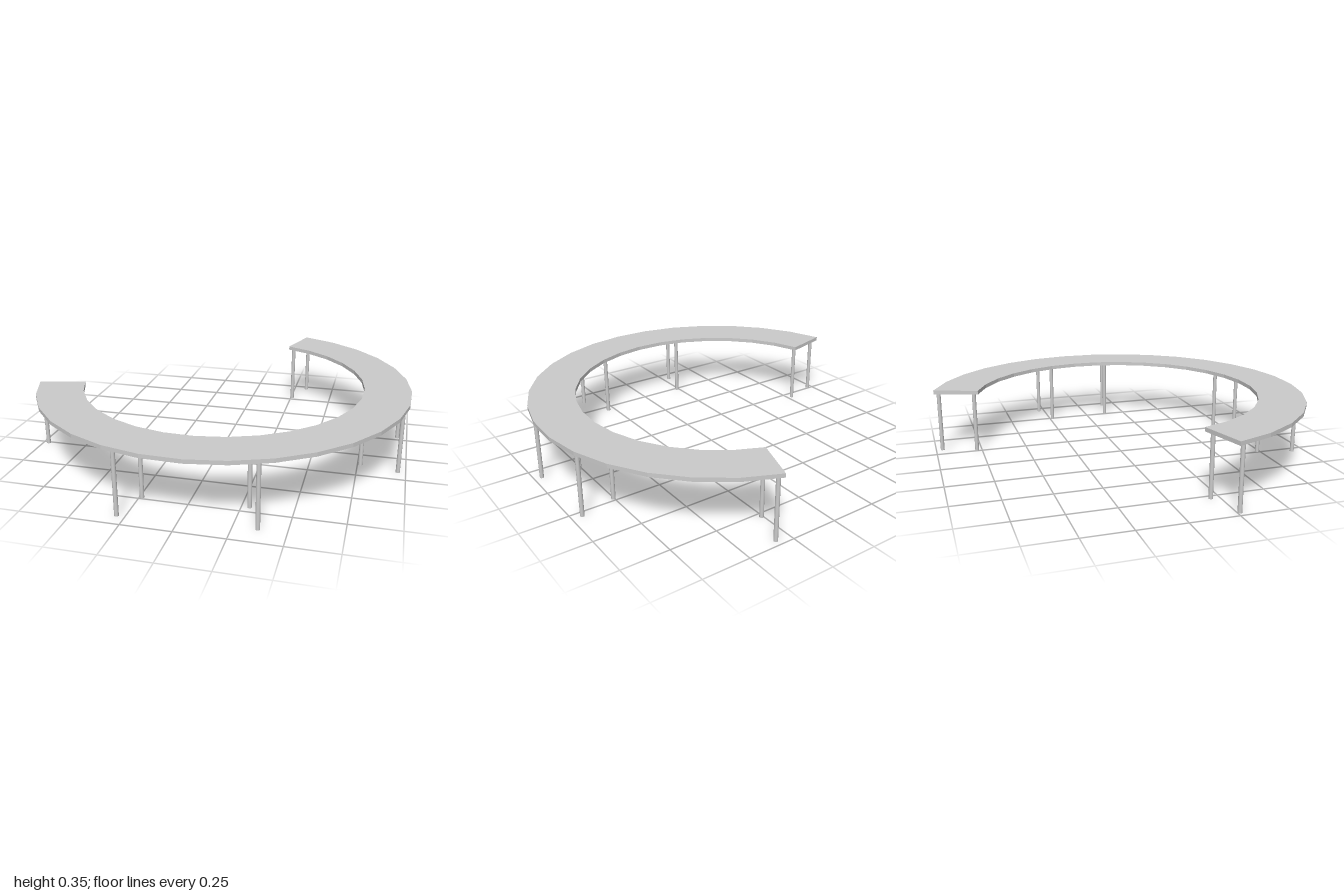
import * as THREE from 'three';

const CX = -0.017, CZ = -0.03;          // centre of the arc
const R_IN = 0.769, R_OUT = 1.017;      // seat edges
const START = -71.2, STEP = 11.25, SEGMENTS = 21;
const TOP = 0.355, THICK = 0.021;

// point on the arc, angle in degrees from +x towards +z
function polar(radius, degrees) {
  const a = THREE.MathUtils.degToRad(degrees);
  return new THREE.Vector2(CX + radius * Math.cos(a), CZ + radius * Math.sin(a));
}

export function createModel() {
  const group = new THREE.Group();
  group.name = 'curvedBench';
  const material = new THREE.MeshStandardMaterial({ color: 0xcccccc });

  // faceted, open-ring seat slab
  const outer = [], inner = [];
  for (let i = 0; i <= SEGMENTS; i++) {
    outer.push(polar(R_OUT, START + i * STEP));
    inner.unshift(polar(R_IN, START + i * STEP));
  }
  const slab = new THREE.ExtrudeGeometry(new THREE.Shape([...outer, ...inner]), {
    depth: THICK, bevelEnabled: false,
  });
  slab.rotateX(Math.PI / 2);            // shape y becomes z, depth goes down
  const seat = new THREE.Mesh(slab, material);
  seat.name = 'seat';
  seat.position.y = TOP;
  group.add(seat);

  // pairs of slim round legs, one near each edge
  const legHeight = TOP - THICK;
  const legGeometry = new THREE.CylinderGeometry(0.011, 0.011, legHeight, 12);
  for (const angle of [-69.8, -14.7, 11.3, 67.4, 106, 163]) {
    const pair = new THREE.Group();
    pair.name = 'legPair';
    for (const [name, radius] of [['innerLeg', 0.797], ['outerLeg', 0.996]]) {
      const leg = new THREE.Mesh(legGeometry, material);
      const p = polar(radius, angle);
      leg.name = name;
      leg.position.set(p.x, legHeight / 2, p.y);
      pair.add(leg);
    }
    group.add(pair);
  }
  return group;
}
